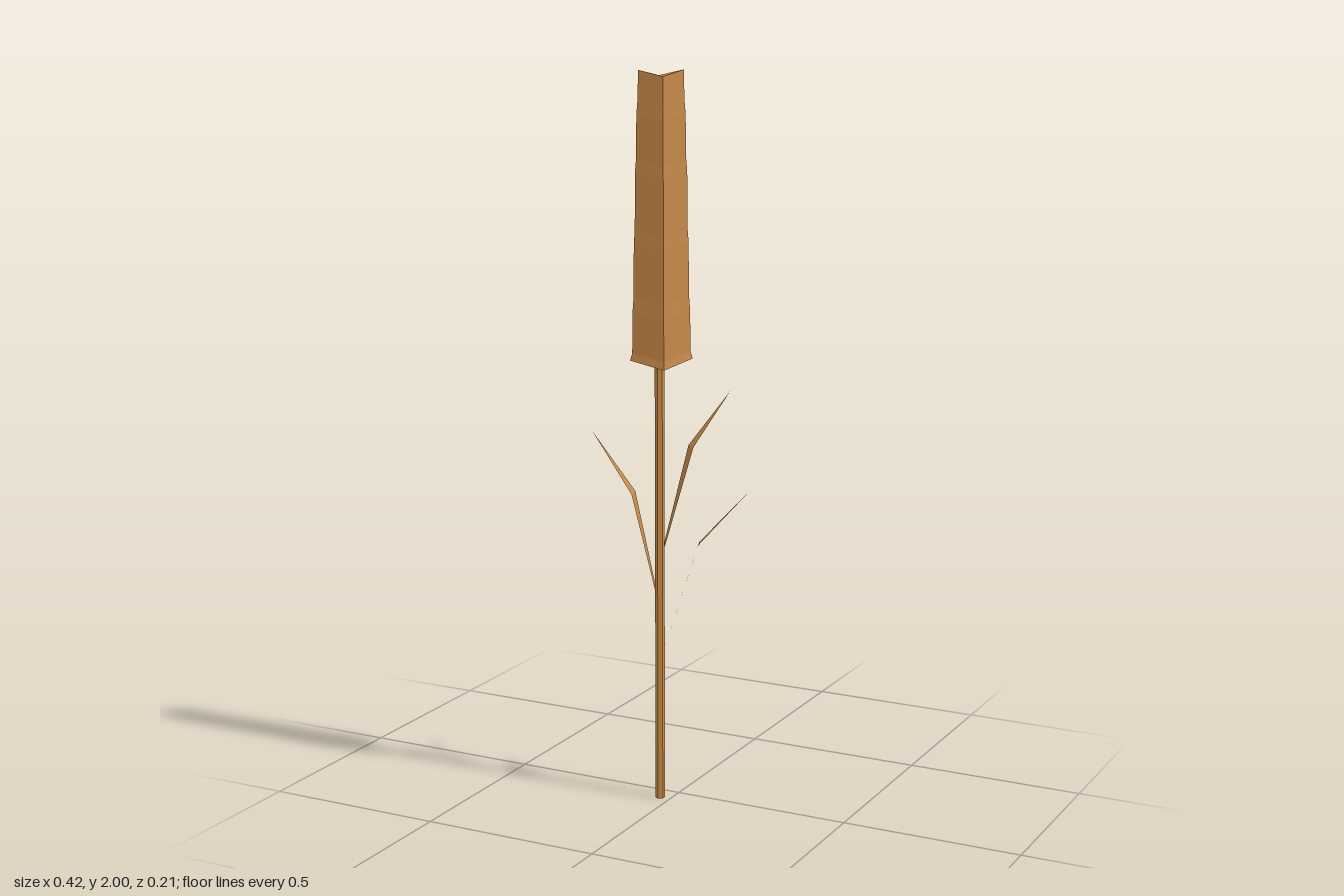
import * as THREE from 'three';

const material = new THREE.MeshStandardMaterial({ color: 0xc98b4a, flatShading: true });
const leafMaterial = new THREE.MeshStandardMaterial({ color: 0xc98b4a, flatShading: true, side: THREE.DoubleSide });

function indexedMesh(name, positions, index, mat) {
  const geometry = new THREE.BufferGeometry();
  geometry.setAttribute('position', new THREE.Float32BufferAttribute(positions, 3));
  geometry.setIndex(index);
  const flat = geometry.toNonIndexed();
  flat.computeVertexNormals();
  const mesh = new THREE.Mesh(flat, mat);
  mesh.name = name;
  return mesh;
}

// Rhombic seed head: stacked rings whose short-diagonal corners sit lower
function createHead() {
  const corners = [[-0.067, 0.051], [0.027, 0.036], [0.067, -0.054], [-0.026, -0.034]];
  const rings = [ // height, scale
    [1.235, 1], [1.255, 0.93], [1.365, 0.915], [1.405, 0.88], [1.55, 0.865], [1.58, 0.835],
    [1.735, 0.82], [1.77, 0.785], [1.885, 0.77], [1.92, 0.735], [2.0, 0.71],
  ];
  const positions = [];
  const index = [];
  for (const [y, s] of rings) {
    corners.forEach(([x, z], i) => {
      positions.push(-0.027 + x * s, y - (i % 2) * 0.022 * s, 0.051 + z * s);
    });
  }
  for (let r = 0; r < rings.length - 1; r++) {
    for (let i = 0; i < 4; i++) {
      const a = r * 4 + i;
      const b = r * 4 + ((i + 1) % 4);
      index.push(a, b, b + 4, a, b + 4, a + 4);
    }
  }
  // Folded caps, creased along the short diagonal
  const t = (rings.length - 1) * 4;
  index.push(0, 3, 1, 1, 3, 2);
  index.push(t, t + 1, t + 3, t + 1, t + 2, t + 3);
  return indexedMesh('seedHead', positions, index, material);
}

// Bent leaf blade: narrow root, wide fold, pointed tip
function createLeaf(name, root, foldA, foldB, tip) {
  const a = new THREE.Vector3(...foldA);
  const b = new THREE.Vector3(...foldB);
  const half = b.clone().sub(a).multiplyScalar(0.15);
  const base = new THREE.Vector3(...root);
  const points = [base.clone().sub(half), base.clone().add(half), a, b, new THREE.Vector3(...tip)];
  return indexedMesh(name, points.flatMap((p) => p.toArray()), [0, 1, 3, 0, 3, 2, 2, 3, 4], leafMaterial);
}

export function createModel() {
  const group = new THREE.Group();
  group.name = 'cattailPlant';

  const stem = new THREE.Mesh(new THREE.CylinderGeometry(0.013, 0.013, 1.215, 6), material);
  stem.name = 'stem';
  stem.position.set(-0.03, 0.6075, 0.055);
  group.add(stem, createHead());

  group.add(
    createLeaf('lowerLeaf', [-0.022, 0.42, 0.05], [0.06, 0.73, -0.004], [0.075, 0.73, 0.034], [0.207, 0.89, -0.027]),
    createLeaf('middleLeaf', [-0.038, 0.58, 0.056], [-0.12, 0.86, 0.027], [-0.108, 0.86, 0.071], [-0.21, 1.035, 0.106]),
    createLeaf('upperLeaf', [-0.022, 0.72, 0.045], [0.014, 0.99, -0.03], [0.039, 0.99, -0.01], [0.103, 1.135, -0.107]),
  );
  return group;
}
